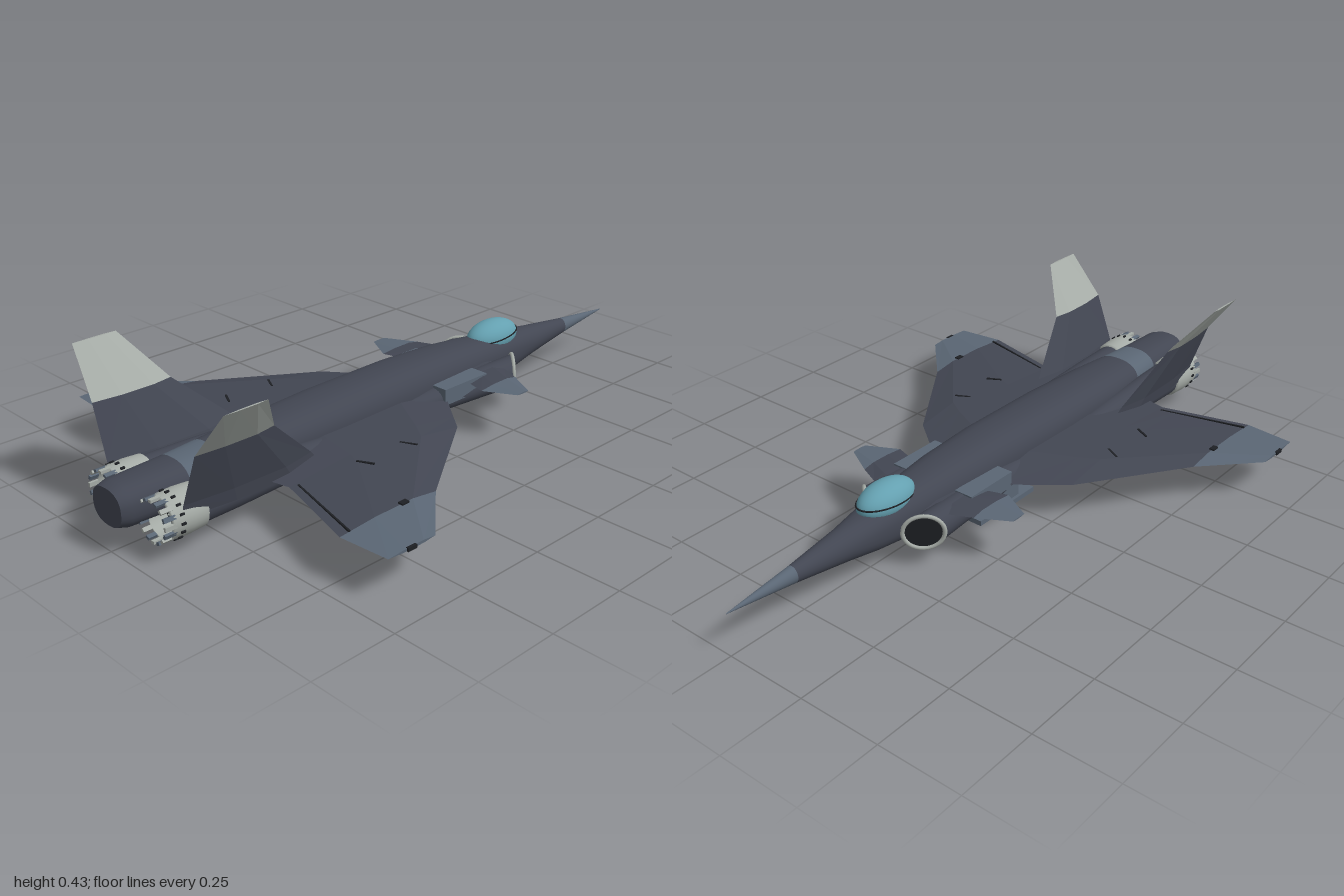
import * as THREE from 'three';

const mat = (name, color, side = THREE.FrontSide) => {
  const m = new THREE.MeshStandardMaterial({ color, side });
  m.name = name;
  return m;
};

// Closed skin through equal-sized rings of [x, y, z]; pick(i, j) chooses a material group.
function loft(rings, flat = false, pick = () => 0) {
  const n = rings[0].length, pos = rings.flat(2), faces = [];
  const add = (g, a, b, c) => (faces[g] ??= []).push([a, b, c]);
  for (let i = 0; i < rings.length - 1; i++) {
    for (let j = 0; j < n; j++) {
      const a = i * n + j, b = i * n + (j + 1) % n, g = pick(i, j);
      add(g, a, b, b + n);
      add(g, a, b + n, a + n);
    }
  }
  // end caps get their own vertices so their edges stay sharp
  [0, rings.length - 1].forEach((k) => {
    const base = pos.length / 3, g = pick(Math.min(k, rings.length - 2), 0);
    pos.push(...rings[k].flat());
    for (let j = 1; j < n - 1; j++) {
      if (k === 0) add(g, base, base + j + 1, base + j);
      else add(g, base, base + j, base + j + 1);
    }
  });
  // turn the faces outward whichever way the rings run
  const v = (i) => new THREE.Vector3(pos[3 * i], pos[3 * i + 1], pos[3 * i + 2]);
  let volume = 0;
  faces.forEach((l) => l.forEach(([a, b, c]) => { volume += v(a).dot(v(b).cross(v(c))); }));
  let geo = new THREE.BufferGeometry(), index = [];
  faces.forEach((list, g) => {
    geo.addGroup(index.length, list.length * 3, g);
    list.forEach(([a, b, c]) => index.push(...(volume < 0 ? [a, c, b] : [a, b, c])));
  });
  geo.setAttribute('position', new THREE.Float32BufferAttribute(pos, 3));
  geo.setIndex(index);
  if (flat) geo = geo.toNonIndexed();
  geo.computeVertexNormals();
  return geo;
}

// Rounded cross-section; power below 1 squares it off
function oval(cx, cy, z, rx, ry, power = 1, n = 32, slant = 0) {
  const bend = (t) => Math.sign(t) * Math.abs(t) ** power;
  return Array.from({ length: n }, (_, i) => {
    const a = (i / n) * Math.PI * 2, x = bend(Math.cos(a)) * rx;
    return [cx + x, cy + bend(Math.sin(a)) * ry, z + x * slant];
  });
}

// Six-point aerofoil: leading edge, two points on each face, trailing edge
const FOIL = [[0, 0], [0.25, 1], [0.65, 0.9], [1, 0.12], [0.65, -0.9], [0.25, -1]];

// Horizontal surface from stations [x, zLead, zTrail, y, halfThickness]
const plane = (stations, s) => loft(stations.map(([x, z0, z1, y, t]) =>
  FOIL.map(([u, w]) => [s * x, y + w * t, z0 + u * (z1 - z0)])), true);

// Upright surface from stations [y, zLead, zTrail, x, halfThickness]
const upright = (stations, s) => loft(stations.map(([y, z0, z1, x, t]) =>
  FOIL.map(([u, w]) => [s * (x + w * t), y, z0 + u * (z1 - z0)])), true);

export function createModel() {
  const body = mat('charcoal', 0x424652);
  const slate = mat('slate', 0x5a6674);
  const pale = mat('paleGrey', 0xa5aba6, THREE.DoubleSide);
  const glass = mat('canopyBlue', 0x64a0b0);
  const dark = mat('black', 0x1e2024, THREE.DoubleSide);

  const model = new THREE.Group();
  const put = (name, geo, m, x = 0, y = 0, z = 0, parent = model) => {
    const mesh = new THREE.Mesh(geo, m);
    mesh.name = name;
    mesh.position.set(x, y, z);
    parent.add(mesh);
    return mesh;
  };
  const box = (name, w, h, d, m, x, y, z, parent) => put(name, new THREE.BoxGeometry(w, h, d), m, x, y, z, parent);

  // Fuselage: z, half width, bottom, top
  const hull = [
    [-1, 0.001, 0.129, 0.131], [-0.9, 0.011, 0.117, 0.141], [-0.78, 0.022, 0.102, 0.153],
    [-0.6, 0.045, 0.076, 0.174], [-0.5, 0.06, 0.064, 0.186], [-0.4, 0.07, 0.053, 0.198],
    [-0.2, 0.09, 0.038, 0.216], [0, 0.101, 0.031, 0.222], [0.3, 0.105, 0.038, 0.216],
    [0.55, 0.098, 0.05, 0.204], [0.69, 0.086, 0.057, 0.196], [0.8, 0.077, 0.061, 0.191],
    [0.97, 0.071, 0.067, 0.186], [1, 0.062, 0.075, 0.178],
  ];
  const skin = loft(
    hull.map(([z, w, lo, hi]) => oval(0, (lo + hi) / 2, z, w, (hi - lo) / 2, z < -0.5 ? 1 : 0.82)),
    false, (i, j) => (i < 2 || (i === 10 && j < 16) ? 1 : 0));
  put('fuselage', skin, [body, slate]);

  // Cockpit: bubble canopy and its frame
  put('canopy', new THREE.SphereGeometry(1, 32, 20), glass, 0, 0.188, -0.428).scale.set(0.056, 0.053, 0.102);
  const frame = put('canopyFrame', new THREE.TorusGeometry(1, 0.03, 6, 40), dark, 0, 0.192, -0.428);
  frame.rotation.x = Math.PI / 2 + 0.06;
  frame.scale.set(0.056, 0.102, 0.08);

  // Belly pod: hanging box over a wider plate
  const pod = new THREE.Group();
  pod.name = 'bellyPod';
  model.add(pod);
  box('podBox', 0.19, 0.046, 0.14, slate, 0, 0.038, -0.03, pod);
  box('podPlate', 0.21, 0.016, 0.25, slate, 0, 0.008, -0.025, pod);
  box('podNose', 0.15, 0.02, 0.045, dark, 0, 0.038, -0.12, pod);

  for (const s of [1, -1]) {
    const side = new THREE.Group();
    side.name = s > 0 ? 'leftSide' : 'rightSide';
    model.add(side);

    // Main wing and lighter tip panel
    put('wing', plane([
      [0.06, -0.14, 0.64, 0.118, 0.03], [0.12, -0.09, 0.635, 0.118, 0.028],
      [0.23, -0.003, 0.61, 0.118, 0.023], [0.285, 0.04, 0.625, 0.118, 0.021],
      [0.5, 0.355, 0.685, 0.116, 0.011]], s), body, 0, 0, 0, side);
    put('wingTip', plane([[0.5, 0.355, 0.685, 0.116, 0.011], [0.65, 0.515, 0.672, 0.115, 0.004]], s), slate, 0, 0, 0, side);
    box('tipRod', 0.008, 0.01, 0.03, dark, s * 0.65, 0.115, 0.595, side);
    box('hardpoint', 0.016, 0.03, 0.025, dark, s * 0.5, 0.116, 0.47, side);
    for (const z of [0.24, 0.4]) {
      box('wingFairing', 0.006, 0.044, 0.05, dark, s * 0.29, 0.118, z, side).rotation.y = s * -1.1;
    }
    box('flapSeam', 0.27, 0.013, 0.005, dark, s * 0.37, 0.118, 0.621, side).rotation.y = s * -0.25;

    // Canard with lighter tip
    put('canard', plane([
      [0.06, -0.36, -0.16, 0.143, 0.011], [0.14, -0.33, -0.17, 0.143, 0.01],
      [0.205, -0.302, -0.15, 0.144, 0.007]], s), body, 0, 0, 0, side);
    put('canardTip', plane([[0.205, -0.302, -0.15, 0.144, 0.007], [0.3, -0.25, -0.2, 0.145, 0.002]], s), slate, 0, 0, 0, side);

    // Raked intake: duct, mouth, lip ring and shoulder fairing
    put('intakeDuct', loft([
      oval(s * 0.11, 0.108, -0.395, 0.044, 0.05, 1, 24, s * 0.93),
      oval(s * 0.105, 0.11, -0.28, 0.045, 0.046, 1, 24, s * 0.4),
      oval(s * 0.1, 0.112, -0.1, 0.045, 0.04, 1, 24),
      oval(s * 0.09, 0.114, 0.06, 0.03, 0.025, 1, 24)]), body, 0, 0, 0, side);
    const mouth = put('intakeMouth', new THREE.CircleGeometry(1, 24), dark, s * 0.11, 0.108, -0.399, side);
    mouth.scale.set(0.058, 0.048, 1);
    mouth.rotation.y = s * -0.75;
    const lip = put('intakeLip', new THREE.TorusGeometry(0.054, 0.006, 8, 32), pale, s * 0.11, 0.108, -0.4, side);
    lip.scale.set(1.08, 0.95, 1);
    lip.rotation.y = s * -0.75;
    box('shoulderFairing', 0.06, 0.05, 0.18, slate, s * 0.116, 0.132, -0.15, side);

    // Canted tail fin with a pale, further canted top
    put('finBase', upright([
      [0.11, 0.44, 0.89, 0.153, 0.022], [0.15, 0.475, 0.889, 0.162, 0.02],
      [0.3, 0.64, 0.885, 0.217, 0.01]], s), body, 0, 0, 0, side);
    put('finTop', upright([[0.3, 0.64, 0.885, 0.217, 0.01], [0.432, 0.735, 0.868, 0.317, 0.003]], s), pale, 0, 0, 0, side);

    // Engine nacelle
    put('nacelle', loft([[0.3, 0.03], [0.5, 0.045], [0.7, 0.052], [0.84, 0.054]].map(
      ([z, r]) => oval(s * 0.107, 0.106, z, r, r, 1, 24))), body, 0, 0, 0, side);

    // Exhaust nozzle: hollow shell, dark throat, hub, spokes and petals
    const nozzle = new THREE.Group();
    nozzle.name = 'nozzle';
    nozzle.position.set(s * 0.108, 0.106, 0);
    side.add(nozzle);
    const profile = [[0.05, 0.81], [0.06, 0.815], [0.063, 0.86], [0.061, 0.92], [0.052, 0.922], [0.052, 0.85]];
    const shell = new THREE.LatheGeometry(profile.map((p) => new THREE.Vector2(...p)), 32);
    put('nozzleShell', shell, pale, 0, 0, 0, nozzle).rotation.x = Math.PI / 2;
    put('nozzleThroat', new THREE.CircleGeometry(0.054, 32), dark, 0, 0, 0.87, nozzle);
    put('nozzleHub', new THREE.ConeGeometry(0.016, 0.03, 16), pale, 0, 0, 0.885, nozzle).rotation.x = Math.PI / 2;
    for (let i = 0; i < 16; i++) {
      const a = (i / 16) * Math.PI * 2, c = Math.cos(a), d = Math.sin(a);
      box('petal', 0.008, 0.012, 0.035, i % 2 ? slate : pale, c * 0.057, d * 0.057, 0.93, nozzle).rotation.z = a;
      box('nozzleStud', 0.006, 0.006, 0.012, dark, c * 0.063, d * 0.063, 0.895, nozzle).rotation.z = a;
      if (i % 2) box('spoke', 0.036, 0.004, 0.006, slate, c * 0.033, d * 0.033, 0.873, nozzle).rotation.z = a;
    }
  }
  return model;
}
